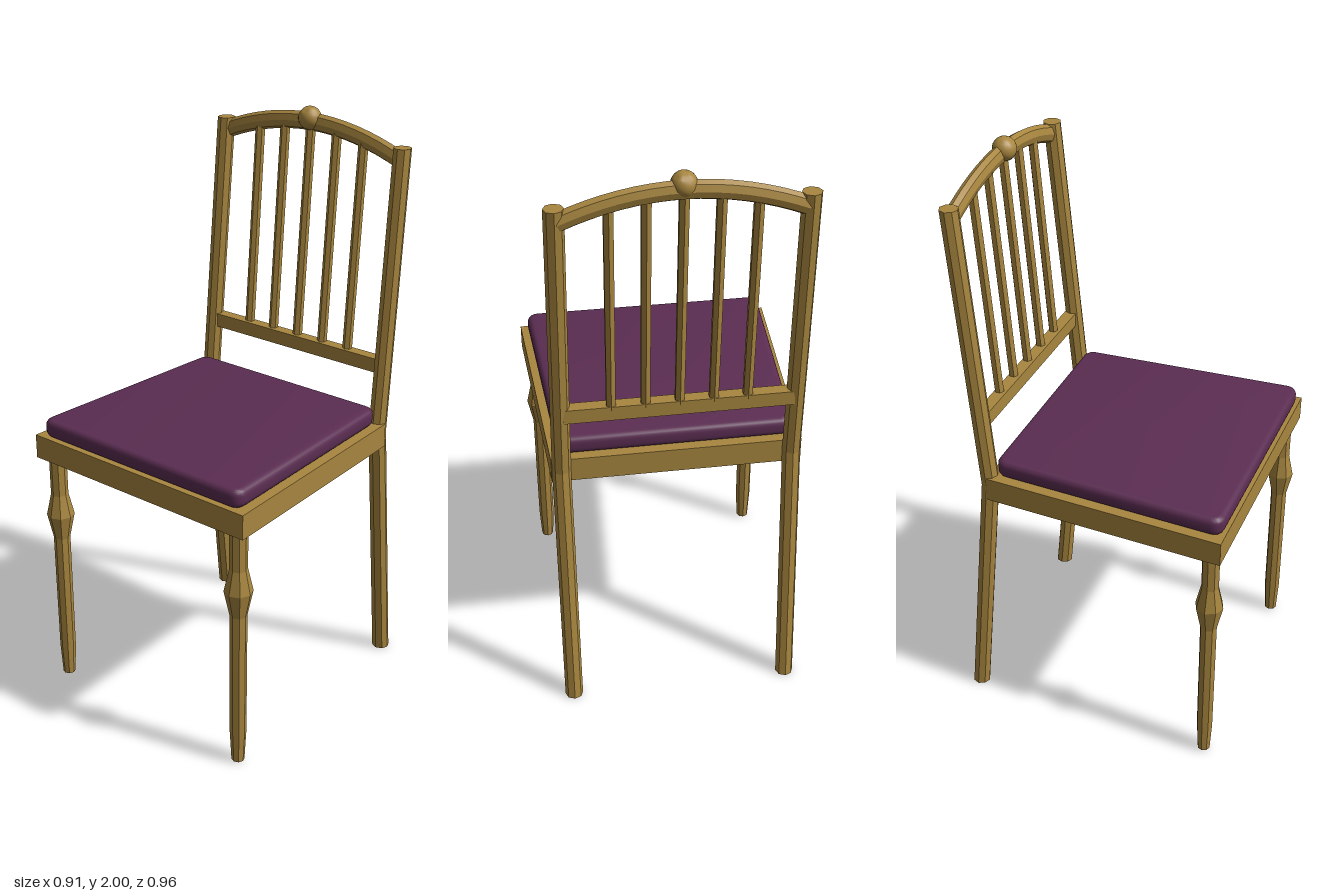
import * as THREE from 'three';
import { toCreasedNormals } from 'three/addons/utils/BufferGeometryUtils.js';

export function createModel() {
  const chair = new THREE.Group();
  chair.name = 'chair';
  const wood = new THREE.MeshStandardMaterial({ color: 0xa8863f });
  wood.name = 'oak wood';
  const fabric = new THREE.MeshStandardMaterial({ color: 0x5b2d52 });
  fabric.name = 'plum fabric';

  const add = (name, geometry, material = wood, crease = 0.4) => {
    const mesh = new THREE.Mesh(toCreasedNormals(geometry, crease), material);
    mesh.name = name;
    chair.add(mesh);
    return mesh;
  };

  // Trapezoid seen from above, with rounded corners, extruded upwards
  const slab = (front, back, zFront, zBack, corner, options) => {
    const pts = [[-front, -zFront], [front, -zFront], [back, -zBack], [-back, -zBack]]
      .map(([x, y]) => new THREE.Vector2(x, y));
    const shape = new THREE.Shape();
    pts.forEach((p, i) => {
      if (!corner) return i ? shape.lineTo(p.x, p.y) : shape.moveTo(p.x, p.y);
      const toward = (q) => q.clone().sub(p).setLength(corner).add(p);
      const a = toward(pts[(i + 3) % 4]);
      const b = toward(pts[(i + 1) % 4]);
      if (i) shape.lineTo(a.x, a.y);
      else shape.moveTo(a.x, a.y);
      shape.quadraticCurveTo(p.x, p.y, b.x, b.y);
    });
    shape.closePath();
    return new THREE.ExtrudeGeometry(shape, options).rotateX(-Math.PI / 2);
  };

  // Seat frame and cushion
  add('seatFrame', slab(0.455, 0.413, 0.48, -0.355, 0, { depth: 0.085, bevelEnabled: false })
    .translate(0, 0.88, 0));
  add('seatCushion', slab(0.41, 0.37, 0.452, -0.312, 0.02, {
    depth: 0.022, bevelThickness: 0.021, bevelSize: 0.02, bevelSegments: 4, curveSegments: 4,
  }).translate(0, 0.986, 0), fabric, 0.6);

  // Turned front legs
  const legProfile = [[0, 0.005], [0.022, 0.005], [0.028, 0.12], [0.029, 0.57], [0.048, 0.66],
    [0.03, 0.74], [0.03, 0.89], [0, 0.89]].map(([r, y]) => new THREE.Vector2(r, y));
  // Back posts: one octagonal pole each, bent at seat height
  const bend = [[0.38, 0, -0.449], [0.38, 0.93, -0.356], [0.372, 1.91, -0.438]];
  for (const side of [-1, 1]) {
    const name = side > 0 ? 'left' : 'right';
    add(name + 'FrontLeg', new THREE.LatheGeometry(legProfile, 8)
      .translate(side * 0.402, 0, 0.434), wood, 0.1);

    const post = new THREE.CylinderGeometry(0.031, 0.031, 2, 8, 2);
    const p = post.attributes.position;
    for (let i = 0; i < p.count; i++) {
      const [x, y, z] = bend[Math.round(p.getY(i)) + 1];
      p.setXYZ(i, p.getX(i) + side * x, y, p.getZ(i) + z);
    }
    add(name + 'BackPost', post, wood, 0.08);
  }

  // Arched top rail with an oval section
  const arch = new THREE.QuadraticBezierCurve3(
    new THREE.Vector3(-0.365, 1.867, 0),
    new THREE.Vector3(0, 2.02, 0),
    new THREE.Vector3(0.365, 1.867, 0));
  add('topRail', new THREE.TubeGeometry(arch, 16, 0.031, 8)
    .scale(1, 1, 0.75).translate(0, 0, -0.441));
  add('topKnob', new THREE.SphereGeometry(0.04, 20, 14).translate(0, 1.957, -0.432), wood, 0.8);

  // Lower cross rail
  add('lowerBackRail', new THREE.BoxGeometry(0.74, 0.05, 0.042).translate(0, 1.165, -0.382));

  // Spindles between the rails
  for (let i = -2; i <= 2; i++) {
    const a = new THREE.Vector3(i * 0.109, 1.17, -0.386);
    const b = new THREE.Vector3(i * 0.109, 1.943 - 0.0045 * i * i, -0.44);
    const spindle = add('backSpindle', new THREE.CylinderGeometry(0.017, 0.017, a.distanceTo(b), 6));
    spindle.position.copy(a).lerp(b, 0.5);
    spindle.quaternion.setFromUnitVectors(new THREE.Vector3(0, 1, 0), b.sub(a).normalize());
  }
  return chair;
}
